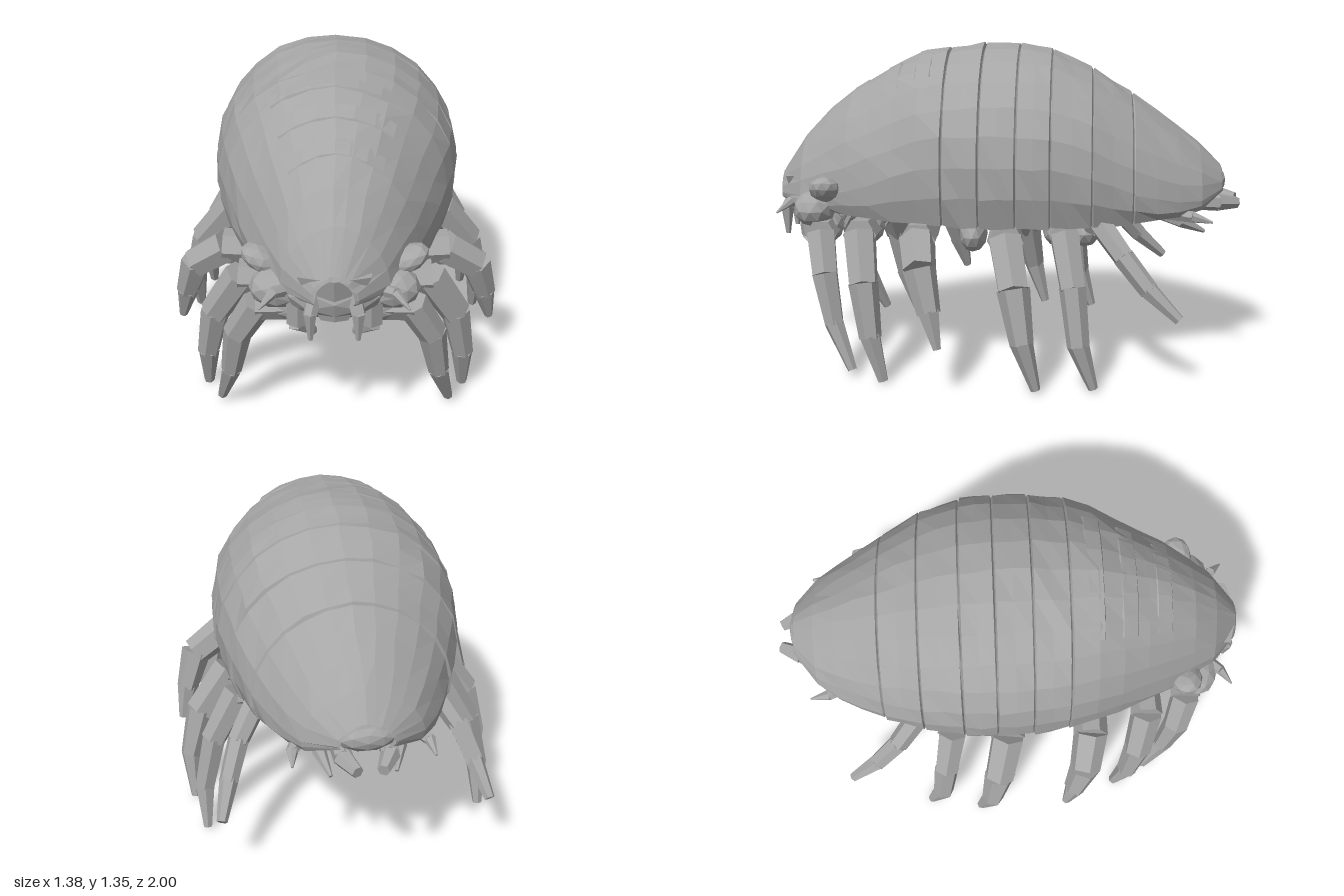
import * as THREE from 'three';

const grey = new THREE.MeshStandardMaterial({ color: 0xa6a6a6, flatShading: true, side: THREE.DoubleSide });
grey.name = 'shell grey';

// Body outline stations: z, half width, top, bottom
const OUTLINE = [
  [1.0, 0.07, 0.785, 0.69], [0.96, 0.14, 0.87, 0.68], [0.9, 0.2, 0.945, 0.67], [0.8, 0.26, 1.05, 0.67],
  [0.68, 0.325, 1.15, 0.66], [0.5, 0.405, 1.255, 0.655], [0.38, 0.45, 1.315, 0.65], [0.25, 0.49, 1.34, 0.645],
  [0.1, 0.51, 1.355, 0.645], [-0.05, 0.515, 1.355, 0.645], [-0.19, 0.505, 1.335, 0.645], [-0.36, 0.47, 1.255, 0.645],
  [-0.53, 0.405, 1.145, 0.65], [-0.7, 0.32, 1.025, 0.66], [-0.82, 0.24, 0.93, 0.685], [-0.92, 0.11, 0.83, 0.74],
];

let seed = 7;
const rand = () => {
  seed = (seed * 16807) % 2147483647;
  return seed / 2147483647 - 0.5;
};

function outline(z) {
  let i = 0;
  while (i < OUTLINE.length - 2 && z < OUTLINE[i + 1][0]) i++;
  const a = OUTLINE[i], b = OUTLINE[i + 1];
  const t = THREE.MathUtils.clamp((a[0] - z) / (a[0] - b[0]), 0, 1);
  return [1, 2, 3].map(k => a[k] + (b[k] - a[k]) * t);
}

// Arched cross-section from the +x rim over the back to the -x rim,
// bulging in the middle of the body and leaning in towards both ends
function arch(z, scale, from, to, steps, jitter) {
  const [w, top, bottom] = outline(z);
  const lean = THREE.MathUtils.smoothstep(Math.abs(z), 0.25, 0.8);
  const mid = bottom + (top - bottom) * (0.3 - 0.2 * lean);
  const ring = [];
  for (let j = 0; j <= steps; j++) {
    const a = from + (to - from) * j / steps, s = Math.sin(a), c = Math.cos(a);
    const h = s > 0 ? top - mid : (mid - bottom) / 0.4;
    const x = w * scale * Math.sign(c) * Math.abs(c) ** (1 + 0.15 * lean);
    ring.push([x + rand() * jitter, mid + h * scale * s + rand() * jitter, z]);
  }
  return ring;
}

// Skin between rings that run from front to back
function loft(rings) {
  const n = rings[0].length, index = [];
  for (let i = 0; i < rings.length - 1; i++) {
    for (let j = 0; j < n - 1; j++) {
      const a = i * n + j, c = a + n;
      index.push(a, c, a + 1, a + 1, c, c + 1);
    }
  }
  const g = new THREE.BufferGeometry();
  g.setAttribute('position', new THREE.Float32BufferAttribute(rings.flat(2), 3));
  g.setIndex(index);
  const flat = g.toNonIndexed();
  flat.computeVertexNormals();
  return flat;
}

function add(parent, name, geometry) {
  const mesh = new THREE.Mesh(geometry, grey);
  mesh.name = name;
  parent.add(mesh);
  return mesh;
}

// Plate with both edges tucked in, so neighbours leave a groove
function plate(parent, name, z0, z1, cuts) {
  const lo = -Math.asin(0.4), hi = Math.PI - lo;
  const rings = [arch(z0, 0.975, lo, hi, 16, 0)];
  for (let i = 0; i <= cuts; i++) {
    const z = z0 - 0.006 + (z1 - z0 + 0.012) * i / cuts;
    rings.push(arch(z, 1 + 0.006 * i / cuts, lo, hi, 16, 0.01));
  }
  rings.push(arch(z1, 0.975, lo, hi, 16, 0));
  add(parent, name, loft(rings));
}

// Tapered six-sided pieces along a path of [x, y, z, radius]
function limb(parent, name, path, mirror) {
  const group = new THREE.Group();
  group.name = name;
  for (let i = 0; i < path.length - 1; i++) {
    const [a, b] = [path[i], path[i + 1]].map(p => new THREE.Vector3(p[0] * mirror, p[1], p[2]));
    const dir = b.clone().sub(a);
    const g = new THREE.CylinderGeometry(path[i + 1][3], path[i][3], dir.length() * 1.06, 6);
    const piece = add(group, name + 'Piece', g);
    piece.position.copy(a).add(b).multiplyScalar(0.5);
    piece.quaternion.setFromUnitVectors(new THREE.Vector3(0, 1, 0), dir.normalize());
  }
  parent.add(group);
}

// Angular lump, optionally tilted about z
function lump(parent, name, [x, y, z], [sx, sy, sz], tilt = 0) {
  const mesh = add(parent, name, new THREE.IcosahedronGeometry(1, 1));
  mesh.position.set(x, y, z);
  mesh.scale.set(sx, sy, sz);
  mesh.rotation.z = tilt;
}

// Each leg: hip, shoulder, knee, shin, foot
const LEGS = [
  [[0.08, 0.57, 0.78, 0.06], [0.3, 0.57, 0.78, 0.065], [0.385, 0.42, 0.75, 0.058], [0.42, 0.22, 0.71, 0.042], [0.47, 0.04, 0.63, 0.02]],
  [[0.1, 0.57, 0.6, 0.06], [0.38, 0.59, 0.6, 0.07], [0.49, 0.41, 0.57, 0.062], [0.53, 0.2, 0.54, 0.046], [0.54, 0.02, 0.49, 0.022]],
  [[0.1, 0.57, 0.36, 0.065], [0.46, 0.59, 0.35, 0.075], [0.59, 0.5, 0.325, 0.068], [0.64, 0.34, 0.285, 0.048], [0.67, 0.2, 0.25, 0.018]],
  [[0.1, 0.57, 0.01, 0.065], [0.46, 0.59, -0.01, 0.075], [0.59, 0.42, -0.05, 0.068], [0.645, 0.22, -0.085, 0.048], [0.64, 0.03, -0.14, 0.02]],
  [[0.1, 0.58, -0.22, 0.06], [0.44, 0.61, -0.25, 0.065], [0.55, 0.42, -0.285, 0.055], [0.6, 0.2, -0.31, 0.046], [0.6, 0.025, -0.37, 0.02]],
  [[0.1, 0.61, -0.33, 0.05], [0.38, 0.64, -0.4, 0.05], [0.46, 0.53, -0.49, 0.045], [0.51, 0.41, -0.59, 0.04], [0.55, 0.3, -0.71, 0.022]],
];

export function createModel() {
  const model = new THREE.Group();
  model.name = 'armouredCrawler';

  // Back armour
  plate(model, 'frontShield', 0.995, 0.25, 7);
  const seams = [0.25, 0.1, -0.05, -0.19, -0.36, -0.53];
  for (let i = 0; i < seams.length - 1; i++) plate(model, 'backPlate', seams[i], seams[i + 1], 2);
  plate(model, 'tailShield', -0.53, -0.92, 4);

  // Raised bands across the front shield
  for (const z of [0.64, 0.49, 0.35]) {
    const rings = [[0.035, 0.985], [0.03, 1.01], [-0.03, 1.008], [-0.04, 0.985]].map(([dz, s]) =>
      arch(z + dz, s, 0.95, Math.PI - 0.95, 6, 0.004));
    add(model, 'shieldBand', loft(rings));
  }

  // Underside, rising into a hollow behind the legs
  const belly = [[0.93, 0.66], [0.7, 0.63], [0.3, 0.62], [-0.3, 0.62], [-0.45, 0.7], [-0.7, 0.76], [-0.88, 0.77]].map(([z, y]) => {
    const [w, , bottom] = outline(z);
    return [-0.92, -0.5, 0, 0.5, 0.92].map(u => [w * u, Math.abs(u) > 0.9 ? bottom + 0.005 : y, z]);
  });
  add(model, 'belly', loft(belly));

  // Head and face plate
  lump(model, 'head', [0, 0.68, 0.85], [0.2, 0.11, 0.13]);
  const face = add(model, 'facePlate', new THREE.CylinderGeometry(0.16, 0.06, 0.2, 6));
  face.position.set(0, 0.69, 0.92);
  face.scale.z = 0.5;

  // Closed blunt tail tip
  lump(model, 'tailTip', [0, 0.77, -0.88], [0.12, 0.06, 0.06]);

  for (const s of [1, -1]) {
    // Legs with rounded hips under the body
    for (const path of LEGS) {
      limb(model, 'leg', path, s);
      lump(model, 'hip', [0.16 * s, 0.575, path[0][2]], [0.11, 0.07, 0.07]);
    }
    lump(model, 'hip', [0.22 * s, 0.57, 0.14], [0.12, 0.08, 0.06]);

    // Brow flaps, cheeks, feelers and mouthparts
    lump(model, 'browFlap', [0.28 * s, 0.76, 0.76], [0.09, 0.05, 0.07], 0.5 * s);
    lump(model, 'cheek', [0.22 * s, 0.67, 0.82], [0.11, 0.08, 0.09]);
    limb(model, 'feeler', [[0.16, 0.68, 0.84, 0.035], [0.23, 0.7, 0.92, 0.022], [0.28, 0.66, 0.97, 0.004]], s);
    limb(model, 'frontFeeler', [[0.07, 0.72, 0.93, 0.03], [0.09, 0.64, 0.97, 0.028], [0.09, 0.53, 0.97, 0.01]], s);
    limb(model, 'mouthpart', [[0.14, 0.64, 0.86, 0.05], [0.14, 0.54, 0.85, 0.05], [0.08, 0.47, 0.82, 0.015]], s);

    // Tail prongs and side spikes
    limb(model, 'tailProng', [[0.1, 0.7, -0.72, 0.04], [0.09, 0.69, -0.9, 0.04], [0.05, 0.68, -0.985, 0.025]], s);
    limb(model, 'lowerTailProng', [[0.14, 0.66, -0.62, 0.03], [0.16, 0.62, -0.74, 0.03], [0.13, 0.57, -0.84, 0.008]], s);
    limb(model, 'sideSpike', [[0.22, 0.67, -0.68, 0.035], [0.27, 0.66, -0.78, 0.025], [0.28, 0.64, -0.86, 0.005]], s);
  }
  return model;
}
